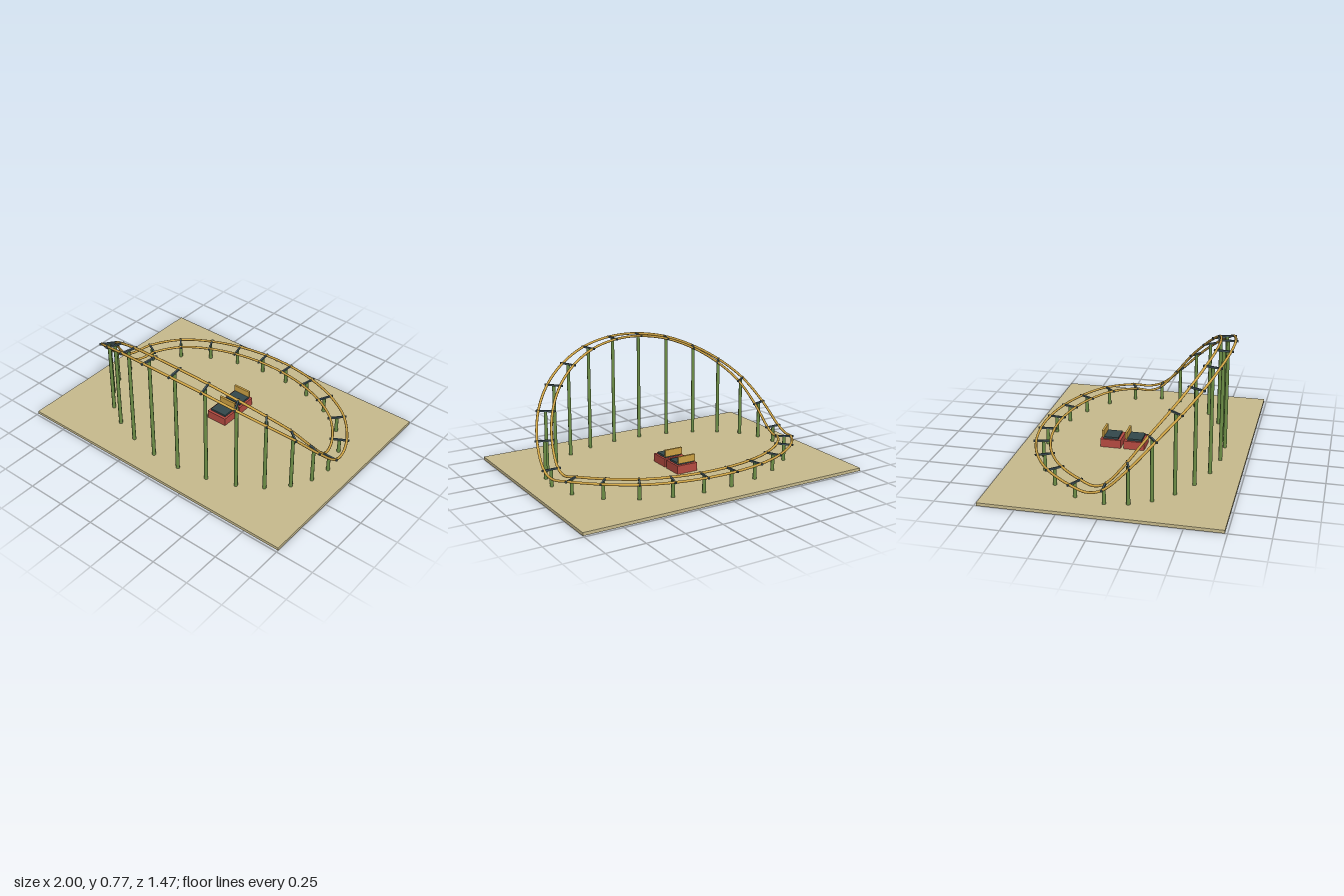
import * as THREE from 'three';

const material = (name, color) => {
  const m = new THREE.MeshStandardMaterial({ color });
  m.name = name;
  return m;
};

export function createModel() {
  const sand = material('sand', 0xc9bc8e);
  const gold = material('gold', 0xcfa445);
  const green = material('green', 0x6f9148);
  const slate = material('slate', 0x465a60);
  const darkSlate = material('dark slate', 0x34494c);
  const red = material('red', 0xb84c42);

  const model = new THREE.Group();
  model.name = 'rollerCoaster';
  const add = (name, geometry, mat, x, y, z, parent = model) => {
    const mesh = new THREE.Mesh(geometry, mat);
    mesh.name = name;
    mesh.position.set(x, y, z);
    parent.add(mesh);
    return mesh;
  };

  const groundTop = 0.02;
  add('ground', new THREE.BoxGeometry(2, groundTop, 1.47), sand, 0, groundTop / 2, 0);

  // Half of the oval: [degrees from the front, height, has a support]
  const half = [
    [6.8, 0.757, true], [21, 0.72, true], [35, 0.645, true], [48.7, 0.545, true],
    [62.6, 0.42, true], [76, 0.27, true], [90, 0.13, true], [98.5, 0.102, false],
    [109, 0.117, true], [127.5, 0.13, true], [144.5, 0.13, true],
    [159.2, 0.13, true], [173.2, 0.13, true],
  ];
  const stations = [
    ...half,
    ...half.slice().reverse().map(([a, y, s]) => [-a, y, s]),
  ].map(([deg, y, support]) => {
    const a = THREE.MathUtils.degToRad(deg);
    return { p: new THREE.Vector3(0.845 * Math.sin(a), y, 0.578 * Math.cos(a)), support };
  });
  const track = new THREE.CatmullRomCurve3(stations.map((s) => s.p), true);

  // Horizontal direction across the track
  const across = (t) => {
    const d = track.getTangent(t);
    return new THREE.Vector3(-d.z, 0, d.x).normalize();
  };

  // Two parallel rails
  for (const [name, side] of [['outerRail', -1], ['innerRail', 1]]) {
    const points = [];
    for (let i = 0; i < 104; i++) {
      const t = i / 104;
      points.push(track.getPoint(t).addScaledVector(across(t), side * 0.046));
    }
    const path = new THREE.CatmullRomCurve3(points, true);
    add(name, new THREE.TubeGeometry(path, 240, 0.0085, 8, true), gold, 0, 0, 0);
  }

  // Posts and cross ties
  const tieGeometry = new THREE.BoxGeometry(0.125, 0.011, 0.011);
  stations.forEach(({ p, support }, i) => {
    if (!support) return;
    const height = p.y - 0.004 - groundTop;
    add('supportPost', new THREE.CylinderGeometry(0.011, 0.0125, height, 8), green,
      p.x, groundTop + height / 2, p.z);
    const n = across(i / stations.length);
    add('crossTie', tieGeometry, slate, p.x, p.y, p.z).rotation.y = Math.atan2(-n.z, n.x);
  });

  // Two cars, each with a seat pad and a backrest
  for (const z of [0, -0.157]) {
    const car = new THREE.Group();
    car.name = 'car';
    car.position.z = z;
    add('carBody', new THREE.BoxGeometry(0.146, 0.055, 0.137), red, 0, 0.0475, 0, car);
    add('seat', new THREE.BoxGeometry(0.118, 0.02, 0.1), darkSlate, 0, 0.078, 0, car);
    add('backrest', new THREE.BoxGeometry(0.124, 0.046, 0.014), gold, 0, 0.108, -0.053, car);
    model.add(car);
  }
  return model;
}
